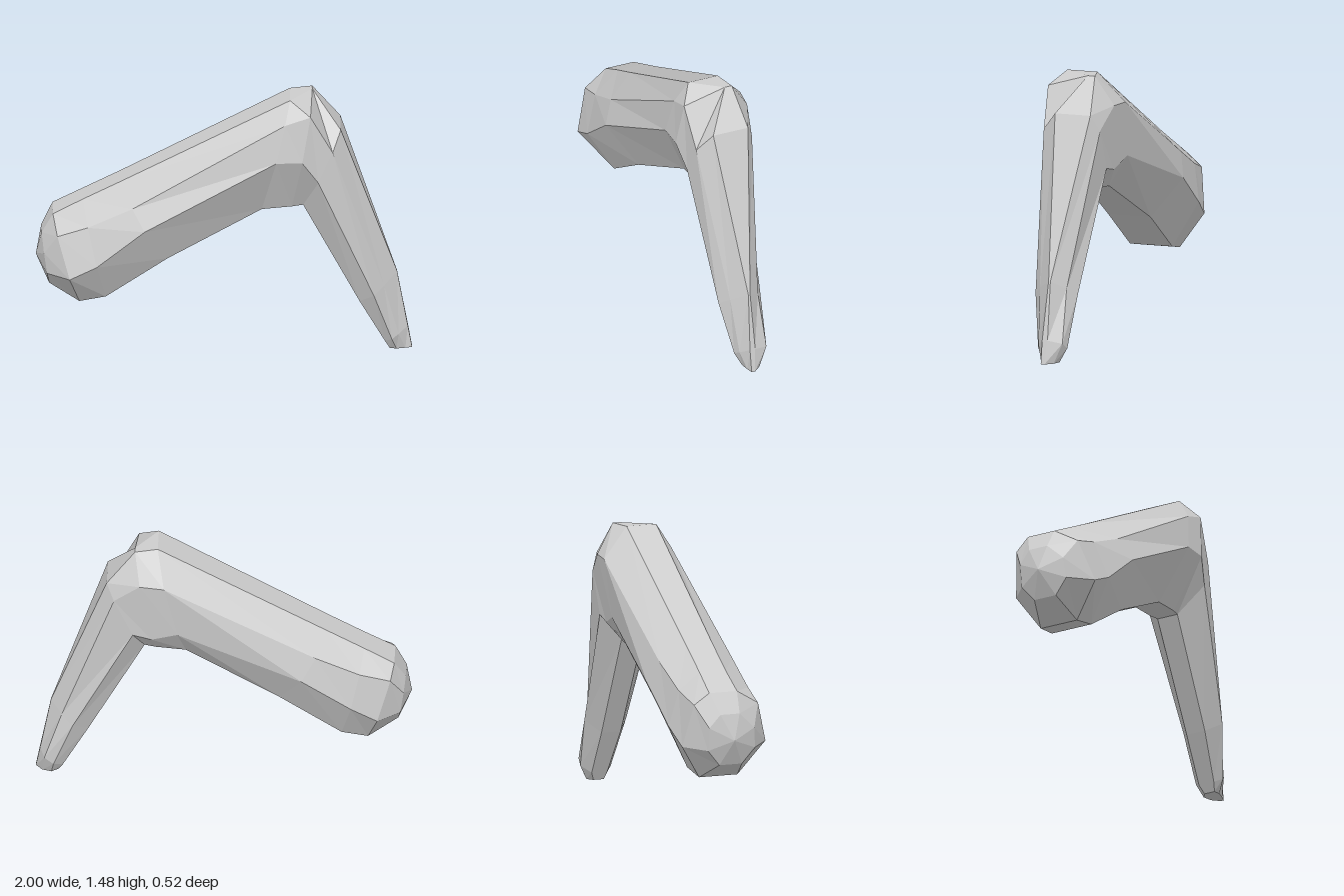
import * as THREE from 'three';

// Outer and inner end of each cross-section, from the blunt end to the foot: ox, oy, ix, iy
const AXES = [
  [-0.97, 0.69, -0.93, 0.41],
  [-0.91, 0.80, -0.77, 0.32],
  [-0.75, 0.885, -0.63, 0.35],
  [-0.55, 0.99, -0.30, 0.57],
  [0.35, 1.475, 0.20, 0.83],
  [0.47, 1.475, 0.36, 0.845],
  [0.62, 1.29, 0.42, 0.85],
  [0.92, 0.44, 0.72, 0.29],
  [0.977, 0.13, 0.855, 0.05],
  [1.00, 0.005, 0.88, 0.005],
];

// Front half of each section: outer z, upper depth, upper z, lower depth, lower z, inner z
const FRONT = [
  [0.04, 0.30, 0.13, 0.70, 0.14, 0.07],
  [0.05, 0.16, 0.18, 0.62, 0.25, 0.11],
  [0.05, 0.20, 0.19, 0.58, 0.255, 0.12],
  [0.06, 0.24, 0.20, 0.50, 0.257, 0.12],
  [0.11, 0.18, 0.18, 0.50, 0.21, 0.07],
  [-0.05, 0.11, 0.18, 0.51, 0.21, 0.07],
  [0.08, 0.22, 0.16, 0.60, 0.18, 0.06],
  [0.005, 0.35, 0.08, 0.62, 0.125, 0.06],
  [0.02, 0.40, 0.06, 0.70, 0.075, 0.04],
  [0.02, 0.30, 0.03, 0.70, 0.04, 0.03],
];

// Back half, in the same order
const BACK = [
  [-0.07, 0.25, -0.13, 0.70, -0.13, -0.06],
  [-0.11, 0.13, -0.19, 0.62, -0.23, -0.11],
  [-0.10, 0.18, -0.21, 0.55, -0.25, -0.12],
  [-0.09, 0.22, -0.22, 0.52, -0.26, -0.12],
  [-0.06, 0.25, -0.205, 0.72, -0.19, -0.07],
  [-0.09, 0.25, -0.19, 0.82, -0.165, -0.07],
  [-0.12, 0.20, -0.16, 0.70, -0.16, -0.06],
  [-0.005, 0.30, -0.075, 0.60, -0.115, -0.05],
  [-0.01, 0.20, -0.085, 0.60, -0.095, -0.05],
  [0.00, 0.30, -0.04, 0.70, -0.055, -0.03],
];

// Eight corners around one cross-section, from outer front to outer back
function ringPoints([ox, oy, ix, iy], i) {
  const half = ([z0, f1, z1, f2, z2, z3]) => [[0, z0], [f1, z1], [f2, z2], [1, z3]];
  return [...half(FRONT[i]), ...half(BACK[i]).reverse()]
    .map(([f, z]) => [ox + (ix - ox) * f, oy + (iy - oy) * f, z]);
}

// Skin of triangles over the rings, closed by a fan at each end
function loft(rings, startTip, endTip) {
  const n = rings[0].length, pos = [];
  const tri = (a, b, c) => pos.push(...a, ...b, ...c);
  const last = rings[rings.length - 1];
  for (let j = 0; j < n; j++) {
    const k = (j + 1) % n;
    tri(startTip, rings[0][k], rings[0][j]);
    for (let i = 0; i < rings.length - 1; i++) {
      tri(rings[i][j], rings[i][k], rings[i + 1][k]);
      tri(rings[i][j], rings[i + 1][k], rings[i + 1][j]);
    }
    tri(endTip, last[j], last[k]);
  }
  const g = new THREE.BufferGeometry();
  g.setAttribute('position', new THREE.Float32BufferAttribute(pos, 3));
  g.computeVertexNormals();
  return g;
}

export function createModel() {
  const group = new THREE.Group();
  group.name = 'bentLimb';
  const grey = new THREE.MeshStandardMaterial({ color: 0xcccccc, flatShading: true });
  grey.name = 'light grey';

  // One faceted body: blunt thick arm, elbow, and tapering lower leg
  const limb = new THREE.Mesh(loft(AXES.map(ringPoints), [-1, 0.55, 0], [0.94, 0, -0.005]), grey);
  limb.name = 'limb';
  group.add(limb);
  return group;
}
